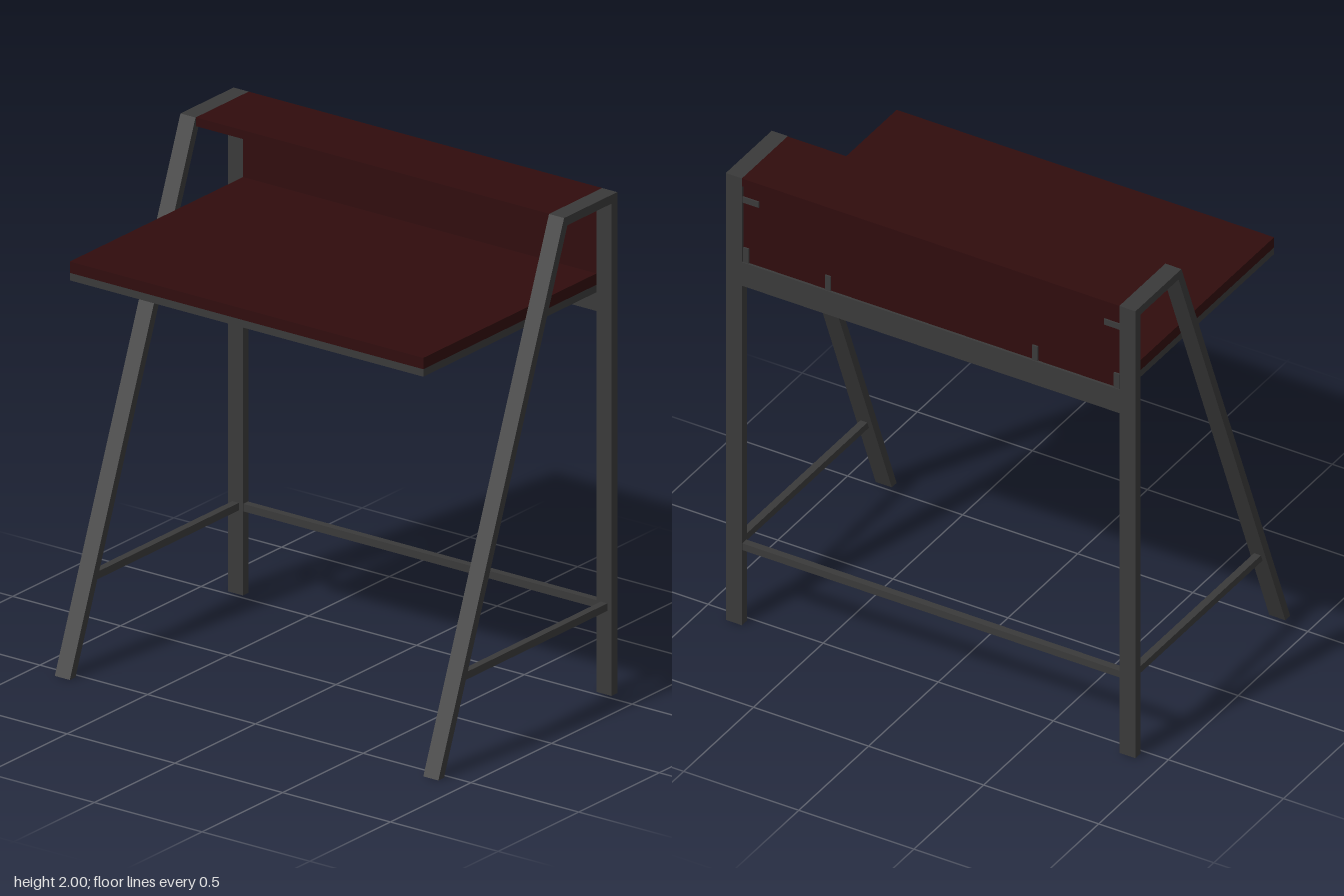
import * as THREE from 'three';

export function createModel() {
  const desk = new THREE.Group();
  desk.name = 'desk';
  const steel = new THREE.MeshStandardMaterial({ color: 0x3a3a3a });
  steel.name = 'dark steel';
  const wood = new THREE.MeshStandardMaterial({ color: 0x300c0d });
  wood.name = 'dark red wood';

  // Box given by its low and high limits on each axis
  const box = (name, material, [x0, x1], [y0, y1], [z0, z1]) => {
    const mesh = new THREE.Mesh(new THREE.BoxGeometry(x1 - x0, y1 - y0, z1 - z0), material);
    mesh.position.set((x0 + x1) / 2, (y0 + y1) / 2, (z0 + z1) / 2);
    mesh.name = name;
    desk.add(mesh);
  };
  const inner = 0.82, outer = 0.89, back = -0.555, backInner = -0.52, front = 0.555;
  const across = [-inner, inner];

  // Side frames: slanted front leg, short top bar and upright back leg in one piece
  const outline = [[front, 0], [-0.225, 2], [back, 2], [back, 0],
    [backInner, 0], [backInner, 1.965], [-0.246, 1.965], [0.52, 0]];
  const profile = new THREE.Shape(outline.map(([z, y]) => new THREE.Vector2(z, y)));
  const frameGeometry = new THREE.ExtrudeGeometry(profile, { depth: outer - inner, bevelEnabled: false });
  frameGeometry.rotateY(-Math.PI / 2);
  for (const [name, x] of [['leftSideFrame', outer], ['rightSideFrame', -inner]]) {
    const frame = new THREE.Mesh(frameGeometry, steel);
    frame.position.x = x;
    frame.name = name;
    desk.add(frame);
  }

  // Wooden boards
  box('tabletop', wood, across, [1.625, 1.67], [backInner, front]);
  box('topShelf', wood, across, [1.965, 2], [back, -0.227]);
  box('backPanel', wood, across, [1.625, 1.965], [-0.545, backInner]);

  // Support frame under the tabletop
  const under = [1.595, 1.625], bar = 0.035;
  box('frontSupport', steel, across, under, [front - bar, front]);
  box('rearSupport', steel, across, under, [backInner, backInner + bar]);
  for (const x of [-inner, -bar / 2, inner - bar]) {
    box('crossSupport', steel, [x, x + bar], under, [backInner + bar, front - bar]);
  }
  box('backRail', steel, across, [1.52, 1.625], [back, backInner]);

  // Low stretchers
  box('backStretcher', steel, across, [0.335, 0.365], [-0.552, -0.522]);
  for (const side of [-1, 1]) {
    const x = side * 0.855;
    box('sideStretcher', steel, [x - 0.015, x + 0.015], [0.335, 0.365], [backInner, 0.4]);

    // Fixing tabs on the rear of the back panel
    const tabDepth = [-0.551, -0.545];
    for (const tabX of [0.45, 0.805]) {
      box('lowerTab', steel, [side * tabX - 0.012, side * tabX + 0.012], [1.625, 1.69], tabDepth);
    }
    box('upperTab', steel, [side * 0.785 - 0.035, side * 0.785 + 0.035], [1.89, 1.915], tabDepth);
  }
  return desk;
}
